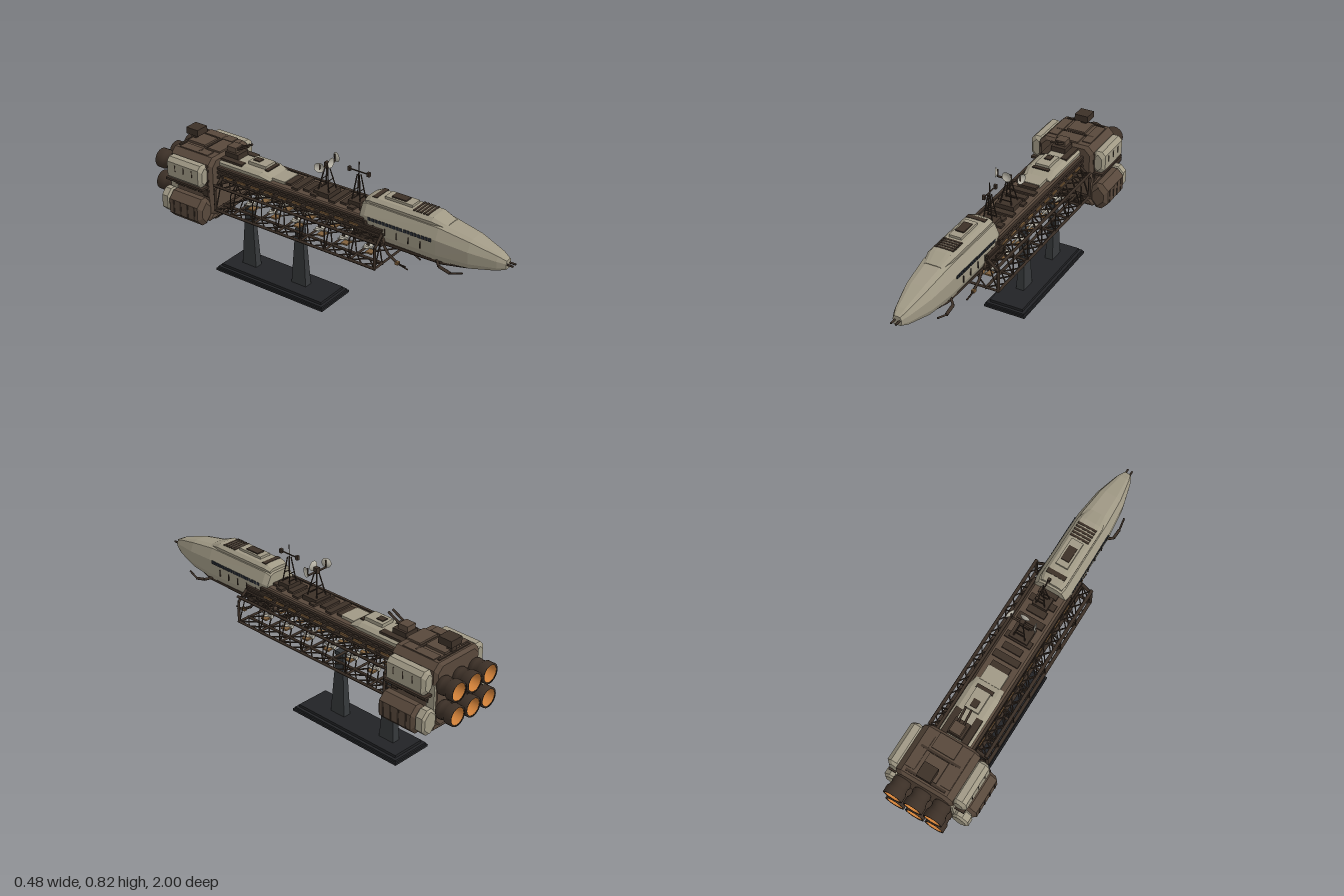
import * as THREE from 'three';
import { mergeGeometries } from 'three/addons/utils/BufferGeometryUtils.js';

const mat = (name, color, side = THREE.FrontSide) => {
  const m = new THREE.MeshStandardMaterial({ color, side });
  m.name = name;
  return m;
};

export function createModel() {
  const root = new THREE.Group();
  root.name = 'spaceFreighter';
  const D = THREE.DoubleSide;
  const hull = mat('hullGrey', 0xa09985), brown = mat('brownArmour', 0x58483b);
  const dark = mat('darkBrown', 0x3c3027, D), steel = mat('standSteel', 0x35383a);
  const black = mat('baseBlack', 0x222326), orange = mat('engineOrange', 0xd08038, D);
  const glass = mat('windowDark', 0x2b3038), pale = mat('paleGrey', 0xb9b5a8, D), bronze = mat('bronze', 0x80603c);

  const add = (name, m, geo) => {
    const mesh = new THREE.Mesh(geo, m);
    mesh.name = name;
    root.add(mesh);
    return mesh;
  };
  const boxGeo = (w, h, d, x, y, z) => new THREE.BoxGeometry(w, h, d).translate(x, y, z);
  const box = (name, m, ...a) => add(name, m, boxGeo(...a));
  const boxes = (name, m, list) => add(name, m, mergeGeometries(list.map(a => boxGeo(...a))));
  // Struts: each entry is [start, end, radius]
  const bars = (name, m, list, sides = 4) => add(name, m, mergeGeometries(list.map(([a, b, r]) => {
    const A = new THREE.Vector3(...a), B = new THREE.Vector3(...b), dir = B.clone().sub(A);
    const g = new THREE.CylinderGeometry(r, r, dir.length(), sides);
    g.applyQuaternion(new THREE.Quaternion().setFromUnitVectors(new THREE.Vector3(0, 1, 0), dir.normalize()));
    return g.translate(...A.add(B).multiplyScalar(0.5).toArray());
  })));
  // Flat-faced skin over counter-clockwise rings, ordered front to back
  const loft = (name, m, rings) => {
    const v = [], n = rings[0].length;
    rings.slice(1).forEach((q, i) => {
      const p = rings[i];
      for (let j = 0; j < n; j++) {
        const k = (j + 1) % n;
        v.push(...p[j], ...q[j], ...q[k], ...p[j], ...q[k], ...p[k]);
      }
    });
    const f = rings[0], b = rings[rings.length - 1];
    for (let j = 1; j < n - 1; j++) v.push(...f[0], ...f[j], ...f[j + 1], ...b[0], ...b[j + 1], ...b[j]);
    const g = new THREE.BufferGeometry();
    g.setAttribute('position', new THREE.Float32BufferAttribute(v, 3));
    g.computeVertexNormals();
    return add(name, m, g);
  };
  const oct = (x, y, w, h, c, z) => [[w - c, -h], [w, c - h], [w, h - c], [w - c, h], [c - w, h], [-w, h - c], [-w, c - h], [c - w, -h]]
    .map(([a, b]) => [x + a, y + b, z]);
  // Octagonal block with bevelled ends
  const block = (name, m, x, y, w, h, c, z0, z1, e = 0.015) => loft(name, m, [
    oct(x, y, w - e, h - e, c, z0), oct(x, y, w, h, c, z0 - e), oct(x, y, w, h, c, z1 + e), oct(x, y, w - e, h - e, c, z1)]);

  // Forward hull
  const nose = (z, w, t, b) => {
    const h = t - b, half = [[0.78 * w, b], [0.95 * w, b + 0.2 * h], [w, b + 0.64 * h], [0.74 * w, t - 0.06 * h], [0.42 * w, t]];
    return [...half, ...half.slice().reverse().map(([x, y]) => [-x, y])].map(p => [...p, z]);
  };
  loft('forwardHull', hull, [nose(0.97, 0.022, 0.585, 0.54), nose(0.93, 0.04, 0.605, 0.527), nose(0.8, 0.074, 0.645, 0.505),
    nose(0.64, 0.091, 0.675, 0.495), nose(0.25, 0.094, 0.678, 0.5), nose(0.22, 0.085, 0.665, 0.51)]);
  loft('hullRoof', hull, [nose(0.67, 0.05, 0.672, 0.65), nose(0.6, 0.066, 0.7, 0.65), nose(0.26, 0.066, 0.7, 0.65), nose(0.23, 0.058, 0.685, 0.65)]);
  box('roofHousing', hull, 0.064, 0.014, 0.15, 0, 0.705, 0.4);
  box('roofHatch', dark, 0.044, 0.014, 0.08, 0, 0.711, 0.395);
  boxes('roofSlats', dark, [0, 1, 2, 3, 4].map(i => [0.1, 0.004, 0.011, 0, 0.7, 0.495 + i * 0.018]));
  box('roofVent', dark, 0.1, 0.004, 0.025, 0, 0.7, 0.28);
  const windows = [], panels = [];
  for (const s of [-1, 1]) {
    for (let i = 0; i < 18; i++) windows.push([0.006, 0.016, 0.014, s * 0.0925, 0.604, 0.28 + i * 0.0195]);
    for (let i = 0; i < 5; i++) panels.push([0.006, 0.035, 0.004, s * 0.091, 0.56, 0.3 + i * 0.065]);
  }
  boxes('windows', glass, windows);
  boxes('panelLines', dark, panels);
  bars('noseProbes', dark, [-1, 1].map(s => [[s * 0.012, 0.563, 0.96], [s * 0.012, 0.563, 1], 0.005]), 8);
  loft('keel', dark, [oct(0, 0.496, 0.04, 0.008, 0.004, 0.78), oct(0, 0.492, 0.072, 0.012, 0.006, 0.66), oct(0, 0.49, 0.078, 0.014, 0.006, 0.19)]);
  block('hullCollar', brown, 0, 0.525, 0.1, 0.05, 0.02, 0.36, 0.19);
  boxes('collarRibs', dark, [0, 1, 2, 3, 4].map(i => [0.206, 0.012, 0.16, 0, 0.49 + i * 0.019, 0.275]));

  // Side guns below the nose and drooping manipulator arms
  for (const s of [-1, 1]) {
    bars('noseGun', dark, [[[s * 0.07, 0.5, 0.64], [s * 0.1, 0.49, 0.67], 0.007], [[s * 0.1, 0.49, 0.67], [s * 0.1, 0.475, 0.73], 0.008],
      [[s * 0.1, 0.475, 0.73], [s * 0.092, 0.492, 0.79], 0.005]], 6);
    bars('manipulatorArm', dark, [[[s * 0.06, 0.47, 0.34], [s * 0.062, 0.43, 0.37], 0.007], [[s * 0.062, 0.43, 0.37], [s * 0.06, 0.395, 0.43], 0.007],
      [[s * 0.06, 0.395, 0.43], [s * 0.055, 0.38, 0.475], 0.004], [[s * 0.06, 0.395, 0.43], [s * 0.068, 0.4, 0.47], 0.004]], 6);
    box('armElbow', bronze, 0.016, 0.016, 0.02, s * 0.061, 0.4, 0.42);
  }

  // Spine
  block('spine', brown, 0, 0.568, 0.095, 0.035, 0.015, 0.28, -0.66);
  boxes('spineSideRails', dark, [-1, 1].flatMap(s => [0.545, 0.572, 0.594].map(y => [0.014, 0.012, 0.9, s * 0.098, y, -0.2])));
  const ribs = [], decks = [], conduits = [];
  for (let i = 0; i < 22; i++) ribs.push([0.206, 0.034, 0.01, 0, 0.573, 0.25 - i * 0.041]);
  for (let i = 0; i < 9; i++) decks.push([0.1 + 0.04 * (i % 2), 0.014, 0.035, 0, 0.607, 0.21 - i * 0.055]);
  for (const s of [-1, 1]) for (let i = 0; i < 10; i++) conduits.push([0.008, 0.008, 0.05, s * 0.105, 0.558, 0.2 - i * 0.085]);
  boxes('spineRibs', dark, ribs);
  boxes('deckBlocks', dark, decks);
  boxes('sideConduits', bronze, conduits);
  loft('rearDeck', hull, [nose(-0.32, 0.075, 0.612, 0.59), nose(-0.38, 0.085, 0.637, 0.59), nose(-0.65, 0.085, 0.637, 0.59)]);
  box('rearDeckHousing', hull, 0.075, 0.026, 0.11, 0, 0.641, -0.43);
  box('rearDeckHatch', dark, 0.034, 0.006, 0.04, 0, 0.656, -0.45);
  box('forwardDeckPlate', hull, 0.11, 0.02, 0.08, 0, 0.607, -0.285);
  boxes('deckVents', dark, [[0.09, 0.006, 0.02, 0, 0.638, -0.365], [0.034, 0.012, 0.15, -0.055, 0.634, -0.575], [0.034, 0.012, 0.15, 0.055, 0.634, -0.575]]);

  // Twin-barrel turret
  box('turretBase', dark, 0.08, 0.03, 0.08, 0, 0.65, -0.59);
  box('turretHead', brown, 0.056, 0.035, 0.055, 0, 0.675, -0.6);
  bars('turretBarrels', dark, [-1, 1].map(s => [[s * 0.015, 0.678, -0.58], [s * 0.015, 0.718, -0.5], 0.006]), 6);

  // Open cargo truss on both sides of the spine
  const zs = [0.355, 0.21, 0.065, -0.08, -0.225, -0.37, -0.51, -0.61], thick = [], thin = [];
  for (const s of [-1, 1]) {
    for (const [x, y] of [[0.155, 0.39], [0.155, 0.527], [0.09, 0.39], [0.1, 0.54]])
      thick.push([[s * x, y, 0.36], [s * x, y, -0.615], 0.009]);
    zs.forEach((z, i) => {
      const r = i % 7 ? 0.004 : 0.009;
      thick.push([[s * 0.155, 0.39, z], [s * 0.155, 0.5, z], r], [[s * 0.155, 0.5, z], [s * 0.1, 0.55, z], r]);
      thin.push([[s * 0.15, 0.395, z], [s * 0.1, 0.535, z], 0.004]);
      if (i === 7) return;
      const e = zs[i + 1], m = (z + e) / 2;
      for (const [a, b] of [[z, m], [m, e]]) {
        thin.push([[s * 0.155, 0.39, a], [s * 0.09, 0.39, b], 0.004], [[s * 0.09, 0.39, a], [s * 0.155, 0.39, b], 0.004]);
        thin.push([[s * 0.155, 0.527, a], [s * 0.1, 0.54, b], 0.004], [[s * 0.1, 0.54, a], [s * 0.155, 0.527, b], 0.004]);
      }
      thin.push([[s * 0.09, 0.39, z], [0, 0.39, m], 0.004], [[0, 0.39, m], [s * 0.09, 0.39, e], 0.004]);
    });
  }
  zs.forEach(z => thick.push([[-0.155, 0.39, z], [0.155, 0.39, z], 0.008]));
  bars('trussFrame', dark, thick);
  bars('trussBraces', dark, thin);

  // Small parked craft in the bays
  for (let i = 0; i < 6; i++) for (const s of [-1, 1]) {
    const craft = new THREE.Group();
    craft.name = 'parkedCraft';
    const part = (name, m, g) => { const k = new THREE.Mesh(g, m); k.name = name; craft.add(k); };
    part('craftBody', pale, new THREE.ConeGeometry(0.011, 0.095, 6).rotateX(Math.PI / 2));
    for (const t of [-1, 1]) part('craftWing', pale, boxGeo(0.036, 0.003, 0.03, t * 0.02, 0, -0.025).rotateZ(t * 0.3));
    part('craftFin', dark, boxGeo(0.004, 0.03, 0.016, 0, 0.015, -0.03));
    part('craftCradle', bronze, boxGeo(0.05, 0.008, 0.035, 0, -0.018, -0.01));
    craft.position.set(s * 0.05, 0.423, 0.275 - i * 0.143);
    root.add(craft);
  }

  // Lattice masts with dishes
  const mast = (z, top, w) => bars('latticeMast', dark, [-1, 1].flatMap(a => [-1, 1].map(b => [[a * w, 0.61, z + b * w], [a * 0.006, top, z + b * 0.006], 0.004]))
    .concat([-1, 1].flatMap(a => [0.64, 0.68].map(y => [[-w * 0.7, y, z + a * w * 0.6], [w * 0.7, y, z + a * w * 0.6], 0.003]))));
  const dish = (r, x, y, z, ry) => {
    const pts = [0, 0.4, 0.75, 1].map(t => new THREE.Vector2(t * r, t * t * r * 0.4));
    const d = add('dish', pale, new THREE.LatheGeometry(pts, 16).rotateX(Math.PI / 2));
    d.position.set(x, y, z);
    d.rotation.y = ry;
  };
  mast(0.155, 0.76, 0.026);
  mast(-0.03, 0.75, 0.034);
  boxes('mastBases', dark, [[0.08, 0.025, 0.07, 0, 0.62, 0.155], [0.1, 0.025, 0.09, 0, 0.615, -0.03]]);
  bars('mastArms', dark, [[[0, 0.74, 0.155], [0, 0.825, 0.155], 0.003], [[0, 0.775, 0.1], [0, 0.775, 0.21], 0.004],
    [[-0.06, 0.748, -0.03], [0.06, 0.748, -0.03], 0.006], [[-0.06, 0.745, -0.03], [-0.06, 0.785, -0.03], 0.005], [[0.06, 0.745, -0.03], [0.06, 0.785, -0.03], 0.005]]);
  boxes('mastSensors', dark, [[0.014, 0.022, 0.014, 0, 0.775, 0.1], [0.014, 0.022, 0.014, 0, 0.775, 0.21], [0.022, 0.03, 0.022, 0, 0.755, -0.03]]);
  dish(0.026, 0, 0.77, -0.018, 0);
  for (const s of [-1, 1]) dish(0.026, s * 0.06, 0.768, -0.03, s * 1.2);

  // Engine section
  block('engineBlock', brown, 0, 0.49, 0.152, 0.165, 0.03, -0.635, -0.905);
  block('engineFrontFrame', dark, 0, 0.53, 0.158, 0.105, 0.025, -0.65, -0.69, 0.005);
  block('engineBelly', brown, 0, 0.335, 0.165, 0.025, 0.01, -0.64, -0.9);
  block('bellyPlate', dark, 0, 0.297, 0.082, 0.02, 0.01, -0.67, -0.87);
  boxes('engineTopPlates', brown, [[0.12, 0.016, 0.08, 0, 0.656, -0.69], [0.1, 0.02, 0.11, 0, 0.657, -0.81],
    [0.05, 0.014, 0.18, -0.095, 0.653, -0.77], [0.05, 0.014, 0.18, 0.095, 0.653, -0.77]]);
  boxes('engineTopSeams', dark, [[0.21, 0.007, 0.012, 0, 0.657, -0.745], [0.21, 0.007, 0.012, 0, 0.657, -0.875]]);
  box('sensorNeck', dark, 0.03, 0.04, 0.03, 0, 0.68, -0.86);
  box('sensorBox', dark, 0.074, 0.035, 0.075, 0, 0.708, -0.85).rotation.x = 0;
  for (const s of [-1, 1]) {
    block('upperPod', hull, s * 0.175, 0.57, 0.036, 0.06, 0.02, -0.655, -0.885);
    boxes('upperPodSeams', dark, [0, 1, 2].map(i => [0.004, 0.035, 0.004, s * 0.211, 0.58, -0.71 - i * 0.055]));
    box('podShelf', dark, 0.06, 0.012, 0.24, s * 0.175, 0.506, -0.77);
    block('lowerPod', brown, s * 0.19, 0.38, 0.05, 0.073, 0.035, -0.64, -0.86, 0.018);
    block('lowerPodCap', hull, s * 0.185, 0.385, 0.045, 0.064, 0.03, -0.855, -0.91, 0.01);
    boxes('lowerPodRibs', dark, [0, 1, 2, 3].map(i => [0.006, 0.074, 0.01, s * 0.239, 0.38, -0.68 - i * 0.045]));
    boxes('blockSidePanels', dark, [0, 1, 2].map(i => [0.02, 0.035, 0.06, s * 0.15, 0.478, -0.69 - i * 0.075]));
    box('rearSidePlate', hull, 0.012, 0.13, 0.045, s * 0.15, 0.49, -0.88);
  }

  // Six nozzles with glowing throats
  const V = (r, h) => new THREE.Vector2(r, h);
  for (const x of [-0.108, 0, 0.108]) for (const y of [0.425, 0.55]) {
    const shell = [V(0.034, 0), V(0.046, 0.018), V(0.046, 0.035), V(0.042, 0.038), V(0.045, 0.06), V(0.051, 0.068), V(0.051, 0.105), V(0.043, 0.105)];
    const throat = [V(0, 0.035), V(0.018, 0.035), V(0.024, 0.05), V(0.038, 0.065), V(0.043, 0.104)];
    add('nozzle', dark, new THREE.LatheGeometry(shell, 20).rotateX(-Math.PI / 2)).position.set(x, y, -0.895);
    add('nozzleThroat', orange, new THREE.LatheGeometry(throat, 20).rotateX(-Math.PI / 2)).position.set(x, y, -0.895);
    add('nozzleCore', bronze, new THREE.ConeGeometry(0.014, 0.035, 10).rotateX(-Math.PI / 2)).position.set(x, y, -0.945);
  }

  // Display stand
  boxes('standBase', black, [[0.23, 0.012, 0.68, 0, 0.006, -0.32], [0.215, 0.012, 0.665, 0, 0.016, -0.32], [0.185, 0.016, 0.635, 0, 0.028, -0.32]]);
  for (const z of [-0.195, -0.515]) {
    loft('standPillar', steel, [[0.022, 0.045], [0.012, 0.022]].map(([w, d], i) => [[-w, 0], [w, 0], [w, 0], [-w, 0]]
      .map(([x], k) => [x, i ? 0.37 : 0.034, z + (k < 2 ? -d : d)])));
    box('pillarCap', steel, 0.034, 0.02, 0.05, 0, 0.372, z);
  }
  return root;
}
